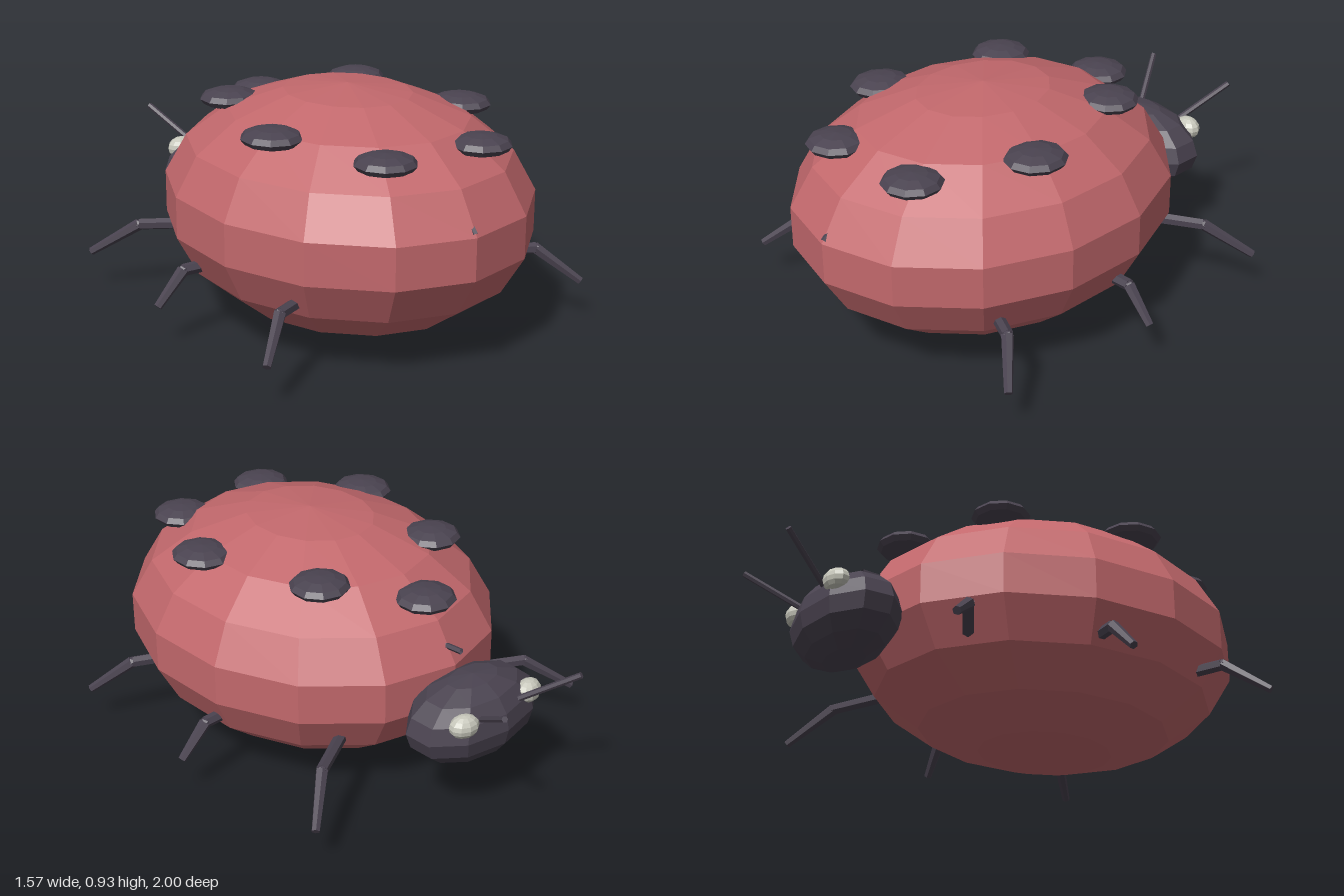
import * as THREE from 'three';

const mat = (color) => new THREE.MeshStandardMaterial({ color, flatShading: true });

export function createModel() {
  const group = new THREE.Group();
  const red = mat(0xc2686c), dark = mat(0x4a4350), pale = mat(0xc8c8bc);
  const V = (x, y, z) => new THREE.Vector3(x, y, z);

  // faceted ellipsoid with a column of vertices facing z
  function ellipsoid(name, material, pos, radii, cols, rows) {
    const geo = new THREE.SphereGeometry(1, cols, rows);
    geo.rotateY(Math.PI / 2);
    geo.scale(...radii);
    const mesh = new THREE.Mesh(geo, material);
    mesh.name = name;
    mesh.position.set(...pos);
    group.add(mesh);
    return mesh;
  }

  // tapered rod from a to b
  function rod(name, parent, a, b, ra, rb, sides) {
    const dir = b.clone().sub(a);
    const mesh = new THREE.Mesh(new THREE.CylinderGeometry(rb, ra, dir.length(), sides), dark);
    mesh.name = name;
    mesh.position.copy(a).add(b).multiplyScalar(0.5);
    mesh.quaternion.setFromUnitVectors(V(0, 1, 0), dir.normalize());
    parent.add(mesh);
  }

  // shell and head
  ellipsoid('body', red, [0, 0.465, 0.215], [0.677, 0.465, 0.797], 14, 9);
  ellipsoid('head', dark, [0, 0.385, -0.655], [0.305, 0.165, 0.185], 10, 8);

  // wing seam, running just beneath the shell and showing at both ends
  const seamPath = new THREE.CatmullRomCurve3([
    [0.615, -0.595], [0.615, -0.5], [0.72, -0.35], [0.86, 0], [0.89, 0.215],
    [0.85, 0.5], [0.72, 0.8], [0.555, 0.99],
  ].map(([y, z]) => V(0, y, z)));
  const seam = new THREE.Mesh(new THREE.TubeGeometry(seamPath, 24, 0.012, 5), dark);
  seam.material = dark.clone();
  seam.material.side = THREE.DoubleSide;
  seam.name = 'wingSeam';
  group.add(seam);

  // spots
  ellipsoid('frontSpot', dark, [0, 0.77, -0.41], [0.118, 0.04, 0.115], 10, 6);

  for (const s of [1, -1]) {
    const side = s > 0 ? 'left' : 'right';
    [[0.297, 0.833, -0.155], [0.428, 0.82, 0.36], [0.212, 0.787, 0.75]].forEach(([x, y, z], i) =>
      ellipsoid(`${side}Spot${i + 1}`, dark, [s * x, y, z], [0.116, 0.039, i === 1 ? 0.122 : 0.115], 10, 6));

    // eyes and antennae
    const eye = ellipsoid(`${side}Eye`, pale, [s * 0.177, 0.455, -0.778], [0.06, 0.045, 0.045], 10, 8);
    eye.rotation.y = -s * 0.25;
    rod(`${side}Antenna`, group, V(s * 0.09, 0.44, -0.77), V(s * 0.21, 0.597, -0.99), 0.012, 0.012, 6);

    // legs: hip, knee, foot
    const legs = {
      Front: [[0.36, 0.28, -0.33], [0.56, 0.28, -0.44], [0.715, 0.155, -0.57]],
      Middle: [[0.5, 0.28, 0.1], [0.66, 0.28, 0.1], [0.775, 0.16, 0.107]],
      Rear: [[0.42, 0.28, 0.57], [0.585, 0.28, 0.65], [0.715, 0.155, 0.77]],
    };
    for (const [place, pts] of Object.entries(legs)) {
      const leg = new THREE.Group();
      leg.name = `${side}${place}Leg`;
      const [hip, knee, foot] = pts.map(([x, y, z]) => V(s * x, y, z));
      rod('upperLeg', leg, hip, knee, 0.024, 0.023, 6);
      rod('lowerLeg', leg, knee, foot, 0.024, 0.016, 6);
      const joint = new THREE.Mesh(new THREE.IcosahedronGeometry(0.023, 0), dark);
      joint.name = 'knee';
      joint.position.copy(knee);
      leg.add(joint);
      group.add(leg);
    }
  }
  return group;
}
